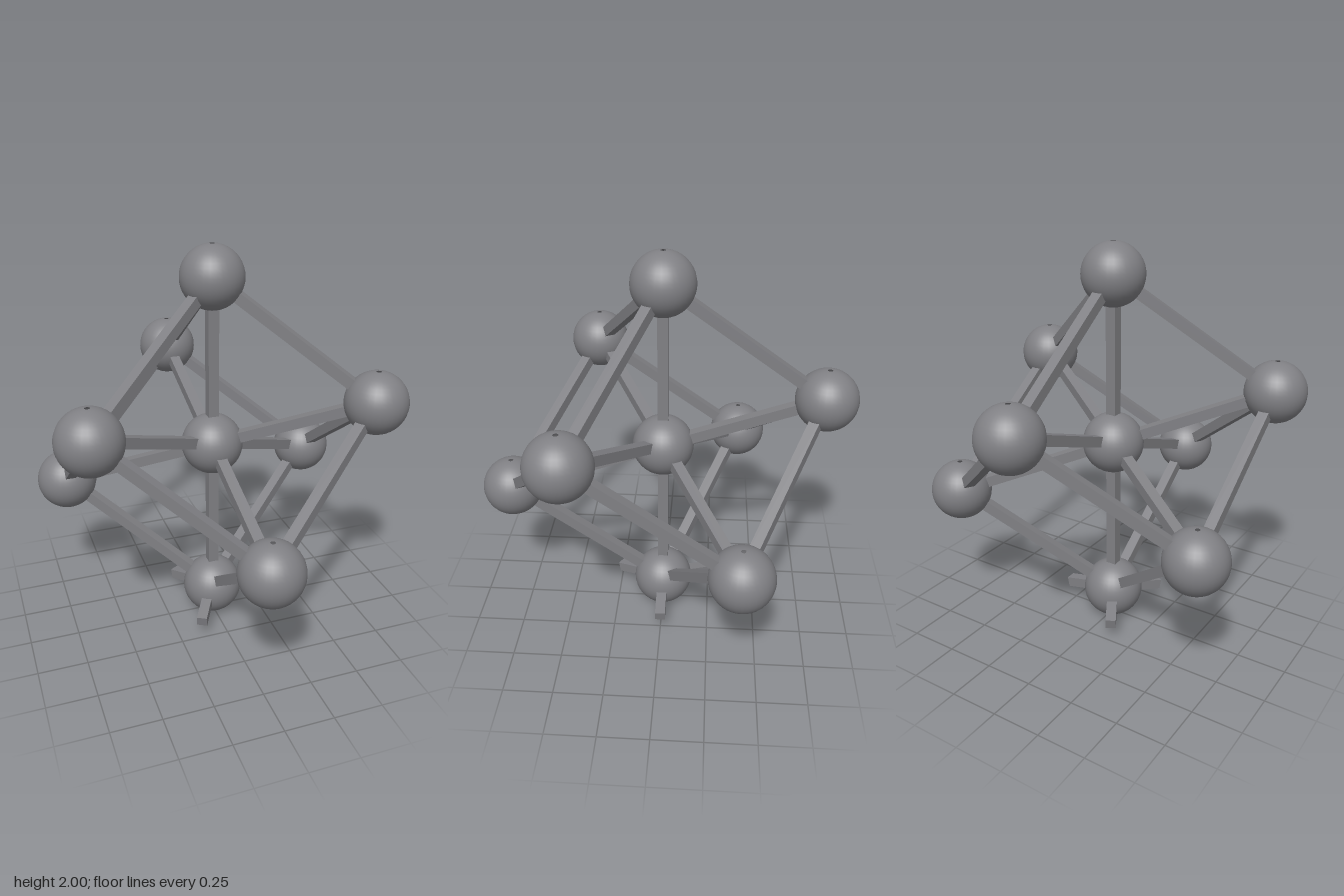
import * as THREE from 'three';

const R = 0.155, BAR = 0.053;

export function createModel() {
  const model = new THREE.Group();
  const steel = new THREE.MeshStandardMaterial({ color: 0x808084, side: THREE.DoubleSide });
  steel.name = 'steelGrey';

  // Cube standing on one corner: bottom, two rings of three, top, plus the centre
  const V = (x, y, z) => new THREE.Vector3(x, y, z);
  const ring = (y, turn) => [0, 1, 2].map(i => {
    const a = turn + i * Math.PI * 2 / 3;
    return V(0.795 * Math.sin(a), y, 0.795 * Math.cos(a));
  });
  const bottom = V(0, R, 0), centre = V(0, 1, 0), top = V(0, 2 - R, 0);
  const lower = ring(0.72, 0), upper = ring(1.28, Math.PI);

  // Spheres with a tiny opening at each pole
  const ballGeo = new THREE.SphereGeometry(R, 32, 20, 0, Math.PI * 2, 0.08, Math.PI - 0.16);
  const corners = [bottom, ...lower, ...upper, top];
  [centre, ...corners].forEach(p => {
    const ball = new THREE.Mesh(ballGeo, steel);
    ball.name = 'sphere';
    ball.position.copy(p);
    model.add(ball);
  });

  // Square bar between two points, kept level about its own axis
  const addBar = (a, b, name) => {
    const bar = new THREE.Mesh(new THREE.BoxGeometry(BAR, BAR, a.distanceTo(b)), steel);
    bar.name = name;
    bar.position.addVectors(a, b).multiplyScalar(0.5);
    bar.lookAt(b);
    model.add(bar);
  };

  // Cube edges
  lower.forEach(p => addBar(bottom, p, 'lowerEdgeTube'));
  upper.forEach(p => addBar(top, p, 'upperEdgeTube'));
  lower.forEach(p => upper.forEach(q => {
    if (p.distanceTo(q) < 1.2) addBar(p, q, 'middleEdgeTube');
  }));

  // Diagonals from the centre to every corner
  corners.forEach(p => addBar(centre, p, 'diagonalTube'));

  // Three short feet sloping out of the bottom sphere
  for (let i = 0; i < 3; i++) {
    const a = i * Math.PI * 2 / 3;
    addBar(bottom, V(0.283 * Math.cos(a), 0.097, 0.283 * Math.sin(a)), 'foot');
  }
  return model;
}
